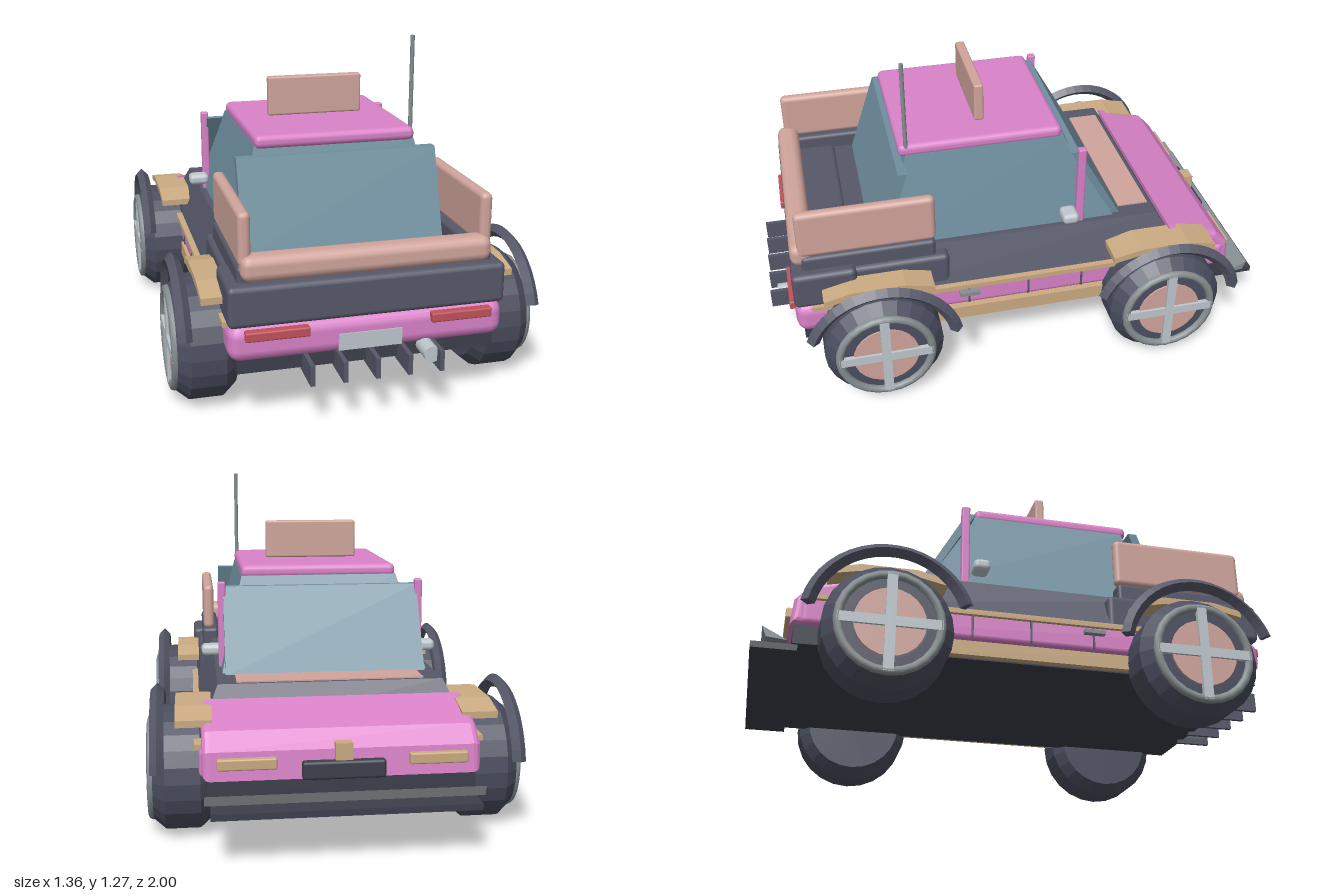
import * as THREE from 'three';
import { RoundedBoxGeometry } from 'three/addons/geometries/RoundedBoxGeometry.js';

function mat(name, color) {
  const m = new THREE.MeshStandardMaterial({ color });
  m.name = name;
  return m;
}

export function createModel() {
  const car = new THREE.Group();
  car.name = 'buggy';
  const dark = mat('slate', 0x565869), tyreMat = mat('rubber', 0x4b4e5f);
  tyreMat.flatShading = true;
  const floorMat = mat('underbody', 0x3c3f4b), pink = mat('pink', 0xd982c8);
  const tan = mat('tan', 0xcbab82), blush = mat('blush', 0xd0a59c);
  const glass = mat('glass', 0x6f8f9f), red = mat('red', 0xc2525b);
  const silver = mat('silver', 0xbfc8ce), grey = mat('grey', 0x868f92);

  const add = (name, geo, m, x = 0, y = 0, z = 0, parent = car) => {
    const mesh = new THREE.Mesh(geo, m);
    mesh.name = name;
    mesh.position.set(x, y, z);
    parent.add(mesh);
    return mesh;
  };
  // Boxes given by their limits on each axis; r rounds the edges
  const box = (name, m, [x0, x1], [y0, y1], [z0, z1], r = 0) => {
    const s = [x1 - x0, y1 - y0, z1 - z0];
    const g = r ? new RoundedBoxGeometry(...s, 2, r) : new THREE.BoxGeometry(...s);
    return add(name, g, m, (x0 + x1) / 2, (y0 + y1) / 2, (z0 + z1) / 2);
  };
  const pair = (name, m, [x0, x1], ys, zs, r = 0) => {
    box(name + 'Left', m, [x0, x1], ys, zs, r);
    box(name + 'Right', m, [-x1, -x0], ys, zs, r);
  };
  // Box whose bottom and top rectangles differ: [y, half width, z min, z max]
  const frustum = (name, m, bottom, top) => {
    const g = new THREE.BoxGeometry(2, 2, 2), p = g.attributes.position;
    for (let i = 0; i < p.count; i++) {
      const [y, w, z0, z1] = p.getY(i) < 0 ? bottom : top;
      p.setXYZ(i, p.getX(i) * w, y, p.getZ(i) < 0 ? z0 : z1);
    }
    g.computeVertexNormals();
    return add(name, g, m);
  };
  // Side profile [z, y] extruded across the width
  const profile = (name, m, pts, width, bevel = 0) => {
    const shape = new THREE.Shape(pts.map(([z, y]) => new THREE.Vector2(z, y)));
    const depth = width - 2 * bevel;
    const g = new THREE.ExtrudeGeometry(shape, {
      depth, bevelEnabled: bevel > 0, bevelSize: bevel, bevelThickness: bevel,
      bevelOffset: -bevel, bevelSegments: 3,
    });
    g.translate(0, 0, -depth / 2).rotateY(-Math.PI / 2);
    return add(name, g, m);
  };

  // Lower body
  box('floor', floorMat, [-0.47, 0.47], [0.2, 0.3], [-0.86, 0.88]);
  box('lowerShell', pink, [-0.495, 0.495], [0.27, 0.375], [-0.84, 0.86], 0.02);
  box('rearBumper', pink, [-0.5, 0.5], [0.245, 0.38], [0.72, 0.905], 0.045);
  pair('waistStrip', tan, [0.48, 0.51], [0.36, 0.38], [-0.8, 0.84]);
  pair('runningBoard', tan, [0.45, 0.5], [0.205, 0.26], [-0.4, 0.44]);
  for (const z of [-0.23, -0.01, 0.23]) pair('doorSeam', dark, [0.49, 0.498], [0.28, 0.36], [z - 0.004, z + 0.004]);
  pair('doorHandle', grey, [0.49, 0.52], [0.33, 0.345], [0.19, 0.27]);

  // Upper body, bed and hood
  frustum('cabBody', dark, [0.37, 0.49, -0.66, 0.7], [0.535, 0.42, -0.56, 0.5]);
  box('bed', dark, [-0.48, 0.48], [0.37, 0.515], [0.3, 0.86], 0.02);
  box('tail', dark, [-0.5, 0.5], [0.375, 0.525], [0.66, 0.905], 0.02);
  pair('bedRail', dark, [0.39, 0.46], [0.5, 0.58], [0.35, 0.86], 0.015);
  profile('hood', pink, [[-0.6, 0.27], [-0.6, 0.49], [-0.81, 0.43], [-0.865, 0.37], [-0.875, 0.27]], 0.97, 0.025);
  box('cowlPanel', blush, [-0.35, 0.35], [0.53, 0.54], [-0.545, -0.42]);

  // Side boards and tailgate around the bed
  pair('sideBoard', blush, [0.41, 0.455], [0.58, 0.775], [0.345, 0.87], 0.02);
  box('tailgate', blush, [-0.45, 0.45], [0.53, 0.625], [0.81, 0.9], 0.035);

  // Cabin glass
  frustum('cabinGlass', glass, [0.52, 0.4, -0.39, 0.54], [0.885, 0.31, -0.19, 0.43]);
  profile('windscreen', glass, [[-0.415, 0.53], [-0.385, 0.53], [-0.2, 0.85], [-0.235, 0.85]], 0.77);
  profile('rearWindow', glass, [[0.55, 0.51], [0.585, 0.51], [0.47, 0.85], [0.435, 0.85]], 0.77);

  // Roof and what stands on it
  box('roof', pink, [-0.31, 0.31], [0.873, 0.925], [-0.185, 0.455], 0.022);
  box('roofSign', blush, [-0.19, 0.19], [0.925, 1.08], [0.1, 0.138], 0.008);
  add('antenna', new THREE.CylinderGeometry(0.008, 0.008, 0.4, 10), grey, 0.3, 1.07, 0.425);
  pair('pillar', pink, [0.376, 0.406], [0.52, 0.87], [-0.257, -0.225], 0.006);
  pair('mirror', silver, [0.39, 0.472], [0.57, 0.615], [-0.22, -0.155], 0.018);

  // Rear details
  pair('tailLight', red, [0.22, 0.445], [0.333, 0.368], [0.89, 0.925], 0.006);
  box('licencePlate', silver, [-0.115, 0.115], [0.26, 0.322], [0.9, 0.909]);
  for (let i = -2; i <= 2; i++) {
    const x = i * 0.116;
    box('diffuserFin', dark, [x - 0.008, x + 0.008], [0.185, 0.26], [0.86, 1]);
  }
  const pipe = add('exhaust', new THREE.CylinderGeometry(0.03, 0.03, 0.14, 16), silver, 0.207, 0.236, 0.9);
  pipe.rotation.x = Math.PI / 2;

  // Nose details
  pair('headlight', tan, [0.23, 0.435], [0.31, 0.35], [-0.89, -0.86], 0.006);
  box('noseBar', floorMat, [-0.145, 0.145], [0.27, 0.335], [-0.9, -0.865], 0.01);
  box('noseBadge', tan, [-0.03, 0.03], [0.33, 0.395], [-0.89, -0.85]);
  box('splitter', floorMat, [-0.46, 0.46], [0.177, 0.2], [-1, -0.84]);
  profile('frontBlade', grey, [[-0.875, 0.205], [-0.965, 0.25], [-0.95, 0.212]].reverse(), 0.96);

  // Wheels with fender planks and arches
  const tyreGeo = new THREE.LatheGeometry(
    [[0, 0.445], [0.19, 0.445], [0.229, 0.49], [0.229, 0.615], [0.19, 0.66], [0.13, 0.66], [0, 0.655]]
      .map(([r, x]) => new THREE.Vector2(r, x - 0.55)), 24).rotateZ(-Math.PI / 2);
  const ringGeo = new THREE.TorusGeometry(0.177, 0.016, 8, 24).rotateY(Math.PI / 2);
  const discGeo = new THREE.CylinderGeometry(0.125, 0.125, 0.01, 24).rotateZ(-Math.PI / 2);
  const archGeo = new THREE.TorusGeometry(0.283, 0.025, 4, 18, Math.PI - 0.55)
    .rotateZ(0.35).rotateY(-Math.PI / 2).toNonIndexed();
  archGeo.computeVertexNormals();
  const archCap = new THREE.CircleGeometry(0.025, 4);
  const doubleDark = dark.clone();
  doubleDark.side = THREE.DoubleSide;
  for (const z of [0.587, -0.548]) {
    for (const s of [1, -1]) {
      const wheel = new THREE.Group();
      wheel.name = (z > 0 ? 'rear' : 'front') + 'Wheel' + (s > 0 ? 'Left' : 'Right');
      wheel.position.set(s * 0.55, 0.229, z);
      if (s < 0) wheel.rotation.y = Math.PI;
      car.add(wheel);
      add('tyre', tyreGeo, tyreMat, 0, 0, 0, wheel);
      add('rimRing', ringGeo, grey, 0.112, 0, 0, wheel);
      add('hubDisc', discGeo, blush, 0.112, 0, 0, wheel);
      add('spokeUpright', new THREE.BoxGeometry(0.02, 0.36, 0.036), silver, 0.117, 0, 0, wheel);
      add('spokeLevel', new THREE.BoxGeometry(0.02, 0.036, 0.36), silver, 0.117, 0, 0, wheel);

      add('wheelArch', archGeo, doubleDark, s * 0.638, 0.229, z);
      for (const a of [0.35, Math.PI - 0.2]) {
        const cap = add('archEnd', archCap, doubleDark, s * 0.638, 0.229 + 0.283 * Math.sin(a), z + 0.283 * Math.cos(a));
        cap.rotation.x = Math.PI / 2 - a;
      }

      // Plank bent down at both ends
      const plank = profile('fenderPlank', tan, [
        [z - 0.21, 0.43], [z - 0.1, 0.453], [z + 0.1, 0.453], [z + 0.21, 0.43],
        [z + 0.21, 0.455], [z + 0.1, 0.48], [z - 0.1, 0.48], [z - 0.21, 0.455]], 0.13);
      plank.position.x = s * 0.51;
    }
  }
  return car;
}
